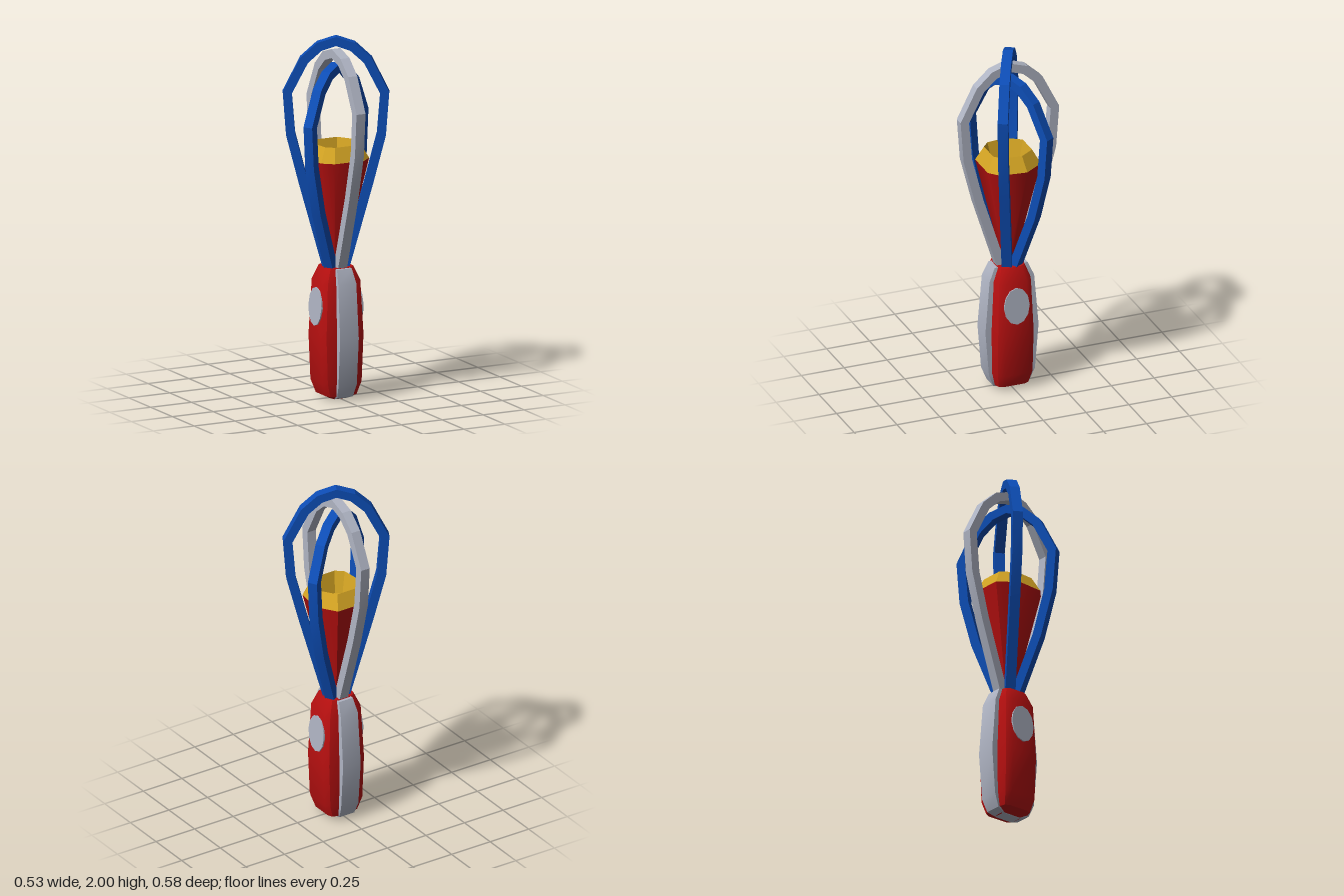
import * as THREE from 'three';
import { toCreasedNormals } from 'three/addons/utils/BufferGeometryUtils.js';

const mat = (name, color) => {
  const m = new THREE.MeshStandardMaterial({ color });
  m.name = name;
  return m;
};

// Skin a list of cross-sections (each an array of [x, y, z]) and cap the chosen ends.
function loft(rings, capStart = true, capEnd = true, crease = 0.65) {
  const out = [];
  const tri = (a, b, c) => out.push(...a, ...b, ...c);
  const n = rings[0].length;
  for (let i = 0; i < rings.length - 1; i++) {
    for (let j = 0; j < n; j++) {
      const k = (j + 1) % n;
      const [a, b, c, d] = [rings[i][j], rings[i][k], rings[i + 1][k], rings[i + 1][j]];
      tri(a, b, c);
      tri(a, c, d);
    }
  }
  const first = rings[0], last = rings[rings.length - 1];
  for (let j = 1; j < n - 1; j++) {
    if (capStart) tri(first[0], first[j + 1], first[j]);
    if (capEnd) tri(last[0], last[j], last[j + 1]);
  }
  const g = new THREE.BufferGeometry();
  g.setAttribute('position', new THREE.Float32BufferAttribute(out, 3));
  return toCreasedNormals(g, crease);
}

// Rectangular band following an arch in its local x-y plane.
function wireLoop(lift) {
  const half = [[0.035, 0.68], [0.178, 1.13], [0.245, 1.39], [0.263, 1.62], [0.172, 1.8], [0.09, 1.875]];
  const raise = ([x, y], i) => [x, i === 0 ? y : y + lift];
  const right = half.map(raise);
  const path = [...right, [0, 1.905 + lift], ...right.map(([x, y]) => [-x, y]).reverse()];
  const t = 0.025, w = 0.0275;
  const rings = path.map(([x, y], i) => {
    const p = path[Math.max(i - 1, 0)], q = path[Math.min(i + 1, path.length - 1)];
    const len = Math.hypot(q[0] - p[0], q[1] - p[1]);
    const nx = (q[1] - p[1]) / len * t, ny = -(q[0] - p[0]) / len * t;
    return [[x + nx, y + ny, -w], [x + nx, y + ny, w], [x - nx, y - ny, w], [x - nx, y - ny, -w]].reverse();
  });
  return loft(rings, true, true, 0.3);
}

export function createModel() {
  const model = new THREE.Group();
  const red = mat('red', 0xb81010);
  const blue = mat('blue', 0x0d4db5);
  const grey = mat('light grey', 0xb0b5c4);
  const yellow = mat('yellow', 0xd2a323);
  const add = (name, geometry, material) => {
    const mesh = new THREE.Mesh(geometry, material);
    mesh.name = name;
    model.add(mesh);
    return mesh;
  };

  // Rounded grip: y, half width, half depth
  const corner = [[0.42, 1], [0.86, 0.86], [1, 0.58]];
  const outline = [
    ...corner,
    ...corner.map(([x, z]) => [x, -z]).reverse(),
    ...corner.map(([x, z]) => [-x, -z]),
    ...corner.map(([x, z]) => [-x, z]).reverse(),
  ];
  const grip = [[0.003, 0.05, 0.06], [0.025, 0.093, 0.1], [0.1, 0.12, 0.117],
    [0.35, 0.131, 0.12], [0.65, 0.115, 0.108], [0.73, 0.08, 0.078]];
  add('grip', loft(grip.map(([y, hx, hz]) => outline.map(([x, z]) => [x * hx, y, z * hz]))), red);

  // Raised strip running down front and back and under the grip
  const strip = [[0, 0.035, 0.05], [0.02, 0.048, 0.105], [0.09, 0.056, 0.134],
    [0.35, 0.057, 0.155], [0.65, 0.055, 0.13], [0.727, 0.045, 0.096]];
  add('gripStrip', loft(strip.map(([y, x, z]) => [[x, y, z], [x, y, -z], [-x, y, -z], [-x, y, z]])), grey);

  // Oval plates on both sides
  for (const side of [1, -1]) {
    const oval = new THREE.CylinderGeometry(1, 1, 0.009, 12);
    oval.rotateZ(-Math.PI / 2);
    oval.scale(1, 0.107, 0.074);
    const plate = add('sideOval', oval, grey);
    plate.position.set(side * 0.1245, 0.515, 0);
    plate.rotation.z = side * 0.053;
  }

  // Three crossing wire loops at different heights
  const loops = [['greyLoop', 0, Math.PI / 2, grey], ['tallBlueLoop', 0.07, -0.49, blue], ['shortBlueLoop', -0.077, 0.525, blue]];
  for (const [name, lift, turn, material] of loops) {
    add(name, wireLoop(lift), material).rotation.y = turn;
  }

  // Faceted cone with a hollow rim inside the loops
  const facet = [[0.09, 0.155], [0.147, 0.105], [0.165, -0.045], [0.09, -0.155],
    [-0.09, -0.155], [-0.165, -0.045], [-0.147, 0.105], [-0.09, 0.155]];
  const ring = (y, s) => facet.map(([x, z]) => [x * s, y, z * s]);
  add('cone', loft([ring(0.7, 0.14), ring(1.33, 1)], true, false, 0.9), red);
  add('coneRim', loft([ring(1.33, 1), ring(1.41, 0.73), ring(1.29, 0.55)], false, true, 0.4), yellow);

  return model;
}
